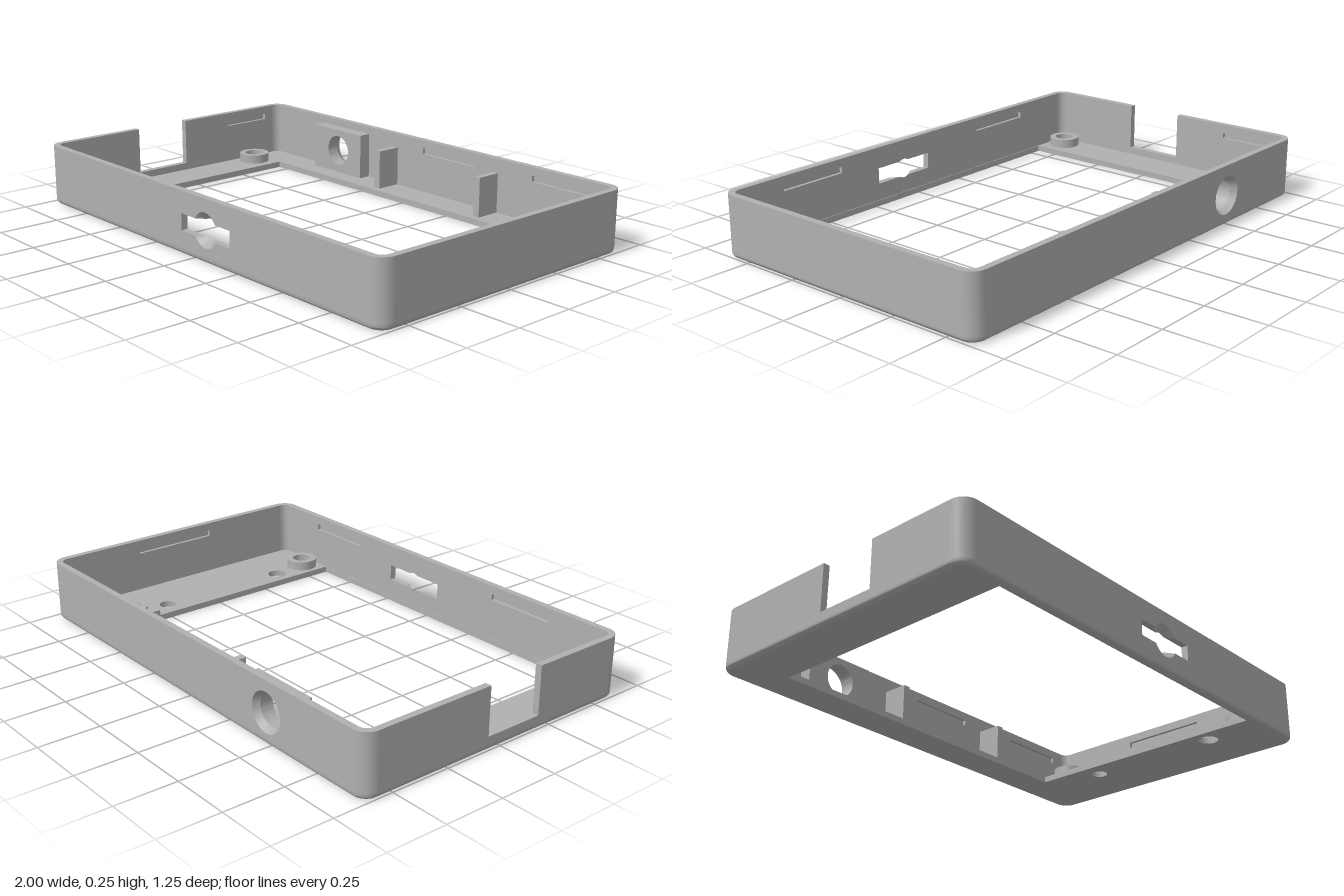
import * as THREE from 'three';
import { toCreasedNormals } from 'three/addons/utils/BufferGeometryUtils.js';

const W = 2, D = 1.25, H = 0.25;      // outer size
const T = 0.027, FLOOR = 0.025;       // wall and floor thickness
const R = 0.06, EDGE = 0.02;          // corner radius, bottom edge radius

// Rounded rectangle, inset from the outer outline
function roundedRect(inset) {
  const x = W / 2 - R, y = D / 2 - R, r = R - inset;
  const s = new THREE.Shape();
  s.absarc(x, y, r, 0, Math.PI / 2);
  s.absarc(-x, y, r, Math.PI / 2, Math.PI);
  s.absarc(-x, -y, r, Math.PI, Math.PI * 1.5);
  s.absarc(x, -y, r, Math.PI * 1.5, Math.PI * 2);
  s.closePath();
  return s;
}

function rect(x0, x1, y0, y1, Type = THREE.Path) {
  const p = new Type();
  p.moveTo(x0, y0).lineTo(x1, y0).lineTo(x1, y1).lineTo(x0, y1).closePath();
  return p;
}

function circle(x, y, r) {
  const p = new THREE.Path();
  p.absarc(x, y, r, 0, Math.PI * 2);
  return p;
}

// Skin across rows of points
function loft(rows) {
  const n = rows[0].length, index = [];
  for (let i = 0; i < rows.length - 1; i++) {
    for (let j = 0; j < n - 1; j++) {
      const a = i * n + j, d = a + n;
      index.push(a, a + 1, d + 1, a, d + 1, d);
    }
  }
  const g = new THREE.BufferGeometry();
  g.setAttribute('position', new THREE.Float32BufferAttribute(rows.flat(2), 3));
  g.setIndex(index);
  return g;
}

const extrude = (shape, depth) =>
  new THREE.ExtrudeGeometry(shape, { depth, bevelEnabled: false, curveSegments: 24 });

export function createModel() {
  const model = new THREE.Group();
  model.name = 'enclosureFrame';
  const grey = new THREE.MeshStandardMaterial({ color: 0xb0b0b0 });
  grey.name = 'grey plastic';

  function add(name, geometry, parent = model) {
    const mesh = new THREE.Mesh(toCreasedNormals(geometry, 0.6), grey);
    mesh.name = name;
    parent.add(mesh);
    return mesh;
  }

  // Floor with the large window and two round holes
  const floor = roundedRect(EDGE);
  floor.holes.push(rect(-0.8, 0.67, -0.595, 0.465),
    circle(0.75, 0.22, 0.035), circle(0.74, -0.365, 0.04));
  add('floor', extrude(floor, FLOOR).rotateX(-Math.PI / 2));

  // Rounded bottom edge
  const rim = [];
  for (let i = 0; i <= 6; i++) {
    const a = (i / 6) * Math.PI / 2;
    rim.push([EDGE * (1 - Math.sin(a)), EDGE * (1 - Math.cos(a))]);
  }
  rim.push([0, FLOOR]);
  add('bottomEdge', loft(rim.map(([inset, y]) =>
    roundedRect(inset).getPoints(8).map(p => [p.x, y, -p.y]))));

  // Upright corners
  const section = [[R, FLOOR], [R, H], [R - T, H], [R - T, FLOOR]].map(p => new THREE.Vector2(...p));
  [[1, 1], [1, -1], [-1, -1], [-1, 1]].forEach(([sx, sz], k) => {
    const g = new THREE.LatheGeometry(section, 8, k * Math.PI / 2, Math.PI / 2);
    add('corner', g).position.set(sx * (W / 2 - R), 0, sz * (D / 2 - R));
  });

  // Walls in two layers: holes cut both, grooves only the inner one
  function wall(name, length, distance, turn, { holes = [], grooves = [], outline }) {
    const group = new THREE.Group();
    group.name = name;
    const half = length / 2 - R;
    [[-T / 2, holes], [-T, [...holes, ...grooves.map(([a, b]) => rect(a, b, 0.19, 0.215))]]]
      .forEach(([z, cuts], i) => {
        const s = outline ? outline(half) : rect(-half, half, FLOOR, H, THREE.Shape);
        s.holes.push(...cuts);
        add(i ? 'innerLayer' : 'outerLayer', extrude(s, T / 2), group).position.z = z;
      });
    group.rotation.y = turn;
    group.position.set(Math.sin(turn) * distance, 0, Math.cos(turn) * distance);
    model.add(group);
  }

  // Front opening: a slot crossed by a conical dish
  const cx = 0.085, cy = 0.128, h = 0.033, dishR = 0.068, dishInner = 0.04;
  const phi = Math.asin(h / dishR), dx = dishR * Math.cos(phi);
  const slot = new THREE.Path();
  slot.moveTo(-0.06, cy - h).lineTo(cx - dx, cy - h);
  slot.absarc(cx, cy, dishR, Math.PI + phi, Math.PI * 2 - phi);
  slot.lineTo(0.23, cy - h).lineTo(0.23, cy + h).lineTo(cx + dx, cy + h);
  slot.absarc(cx, cy, dishR, phi, Math.PI - phi);
  slot.lineTo(-0.06, cy + h).closePath();

  wall('frontWall', W, D / 2, 0, { holes: [slot], grooves: [[0.43, 0.73], [-0.67, -0.37]] });
  wall('leftWall', D, W / 2, Math.PI / 2, { grooves: [[-0.16, 0.21]] });
  wall('backWall', W, D / 2, Math.PI, {
    holes: [circle(0.485, 0.125, 0.08)], grooves: [[-0.285, 0.01], [-0.885, -0.585]],
  });
  wall('rightWall', D, W / 2, -Math.PI / 2, {
    grooves: [[-0.52, -0.3]],
    outline: half => {
      const s = new THREE.Shape();
      s.moveTo(-half, FLOOR).lineTo(half, FLOOR).lineTo(half, H).lineTo(0.19, H);
      s.lineTo(0.19, 0.055).lineTo(-0.06, 0.055).lineTo(-0.06, H).lineTo(-half, H);
      s.closePath();
      return s;
    },
  });

  // Sloping dish faces above and below the slot
  for (const start of [0, Math.PI]) {
    const rows = [[], [], [], []];
    for (let j = 0; j <= 24; j++) {
      const a = start + phi + (j / 24) * (Math.PI - 2 * phi);
      const r = Math.min(dishR, Math.max(dishInner, h / Math.abs(Math.sin(a))));
      const depth = T * (dishR - r) / (dishR - dishInner);
      [[dishR, 0], [r, depth], [r, T], [dishR, T]].forEach(([rad, d], i) =>
        rows[i].push([cx + rad * Math.cos(a), cy + rad * Math.sin(a), D / 2 - d]));
    }
    add('slotDish', loft(rows));
  }

  // Socket block on the back wall with a countersunk opening
  const block = rect(-0.64, -0.34, FLOOR, 0.218, THREE.Shape);
  block.holes.push(circle(-0.485, 0.125, 0.065));
  add('socketBlock', extrude(block, 0.053)).position.z = -D / 2 + T;
  const cone = new THREE.LatheGeometry([new THREE.Vector2(0.08, T), new THREE.Vector2(0.065, 0)], 48);
  add('socketCountersink', cone.rotateX(-Math.PI / 2)).position.set(-0.485, 0.125, -D / 2 + T);

  // Support ribs
  for (const x of [-0.175, 0.395]) {
    add('rib', new THREE.BoxGeometry(0.03, 0.19 - FLOOR, 0.108))
      .position.set(x, (0.19 + FLOOR) / 2, -0.544);
  }

  // Screw bosses
  const boss = [[0.066, FLOOR], [0.066, 0.063], [0.04, 0.063], [0.04, FLOOR]]
    .map(p => new THREE.Vector2(...p));
  for (const x of [-0.9, 0.755]) {
    for (const z of [-0.395, 0.52]) {
      add('screwBoss', new THREE.LatheGeometry(boss, 40)).position.set(x, 0, z);
    }
  }
  return model;
}
